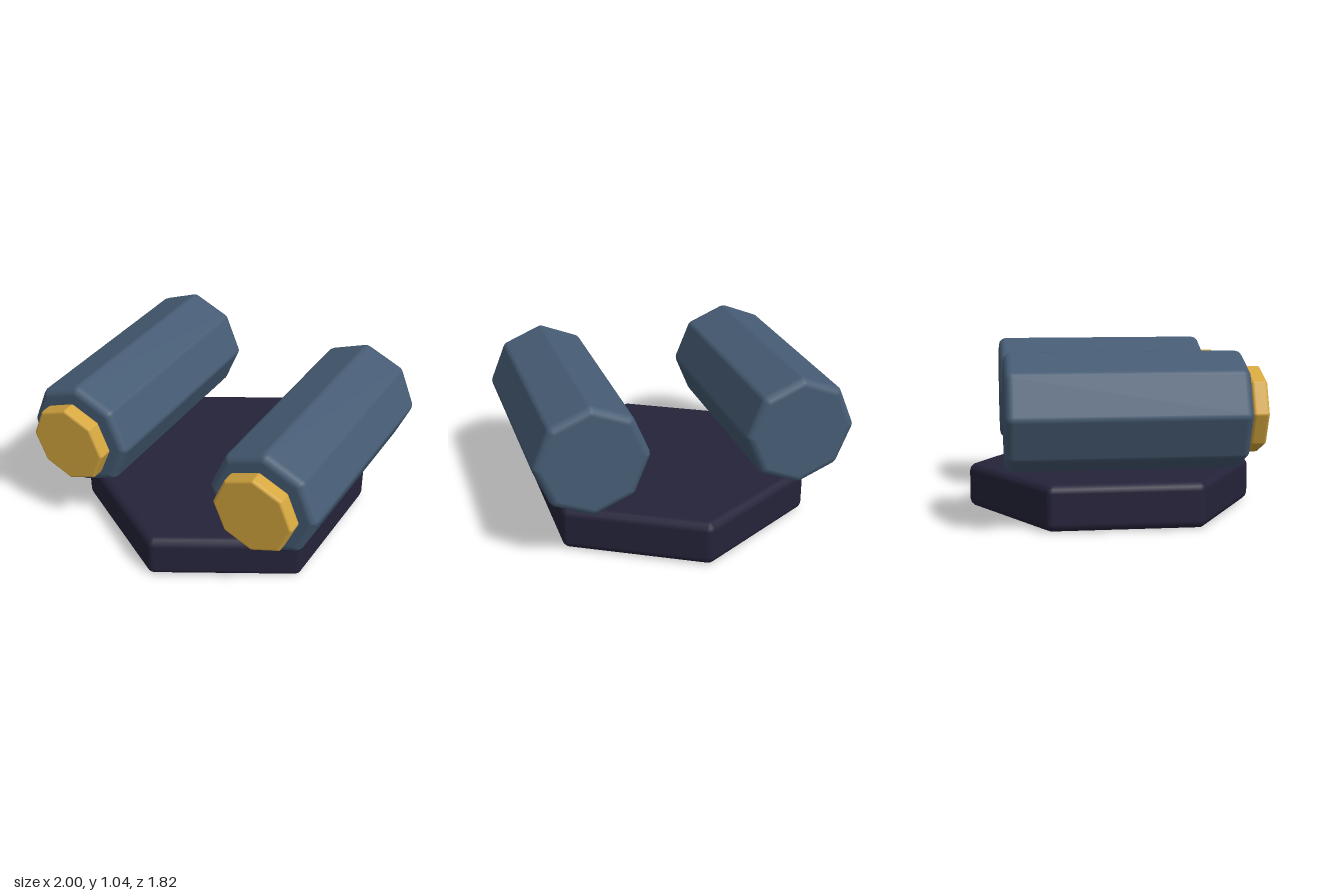
import * as THREE from 'three';

// Regular prism along z with rounded edges; one corner points along +y.
function roundedPrism(sides, radius, depth, r, steps = 3) {
  const core = radius - r, half = depth / 2 - r;
  const pos = [], nor = [], idx = [];
  const perRing = sides * (steps + 1);
  const rings = [];
  for (let k = 0; k <= steps; k++) rings.push([-Math.PI / 2 + (k / steps) * Math.PI / 2, -half]);
  for (let k = 0; k <= steps; k++) rings.push([(k / steps) * Math.PI / 2, half]);
  for (const [phi, z] of rings) {
    const c = Math.cos(phi), s = Math.sin(phi);
    for (let i = 0; i < sides; i++) {
      const corner = Math.PI / 2 + (i / sides) * Math.PI * 2;
      for (let j = 0; j <= steps; j++) {
        const a = corner + (j / steps - 0.5) * (Math.PI * 2 / sides);
        const nx = Math.cos(a) * c, ny = Math.sin(a) * c;
        pos.push(Math.cos(corner) * core + nx * r, Math.sin(corner) * core + ny * r, z + s * r);
        nor.push(nx, ny, s);
      }
    }
  }
  // Walls and rounded edges
  for (let k = 0; k < rings.length - 1; k++) {
    for (let i = 0; i < perRing; i++) {
      const n = (i + 1) % perRing;
      const a = k * perRing + i, b = k * perRing + n;
      idx.push(a, b, b + perRing, a, b + perRing, a + perRing);
    }
  }
  // Flat ends
  for (const dir of [-1, 1]) {
    const centre = pos.length / 3;
    const start = dir < 0 ? 0 : (rings.length - 1) * perRing;
    pos.push(0, 0, dir * depth / 2);
    nor.push(0, 0, dir);
    for (let i = 0; i < perRing; i++) {
      const a = start + i, b = start + (i + 1) % perRing;
      if (dir > 0) idx.push(centre, a, b);
      else idx.push(centre, b, a);
    }
  }
  const g = new THREE.BufferGeometry();
  g.setAttribute('position', new THREE.Float32BufferAttribute(pos, 3));
  g.setAttribute('normal', new THREE.Float32BufferAttribute(nor, 3));
  g.setIndex(idx);
  return g;
}

function material(name, color) {
  const m = new THREE.MeshStandardMaterial({ color });
  m.name = name;
  return m;
}

export function createModel() {
  const group = new THREE.Group();
  const dark = material('dark navy', 0x25233a);
  const steel = material('steel blue', 0x465c74);
  const gold = material('gold', 0xd6a840);

  const add = (name, geometry, mat, x, y, z) => {
    const mesh = new THREE.Mesh(geometry, mat);
    mesh.name = name;
    mesh.position.set(x, y, z);
    group.add(mesh);
    return mesh;
  };

  // Hexagonal base plate, corners towards front and back
  const baseGeo = roundedPrism(6, 0.912, 0.28, 0.05);
  baseGeo.rotateX(-Math.PI / 2);
  add('base', baseGeo, dark, 0, 0.14, 0);

  // Twin octagonal barrels with front caps
  const barrelGeo = roundedPrism(8, 0.35, 1.41, 0.05);
  const capGeo = roundedPrism(8, 0.257, 0.098, 0.02);
  for (const side of [-1, 1]) {
    const label = side > 0 ? 'left' : 'right';
    add(label + 'Barrel', barrelGeo, steel, side * 0.65, 0.69, 0);
    add(label + 'Cap', capGeo, gold, side * 0.65, 0.69, 0.766);
  }
  return group;
}
